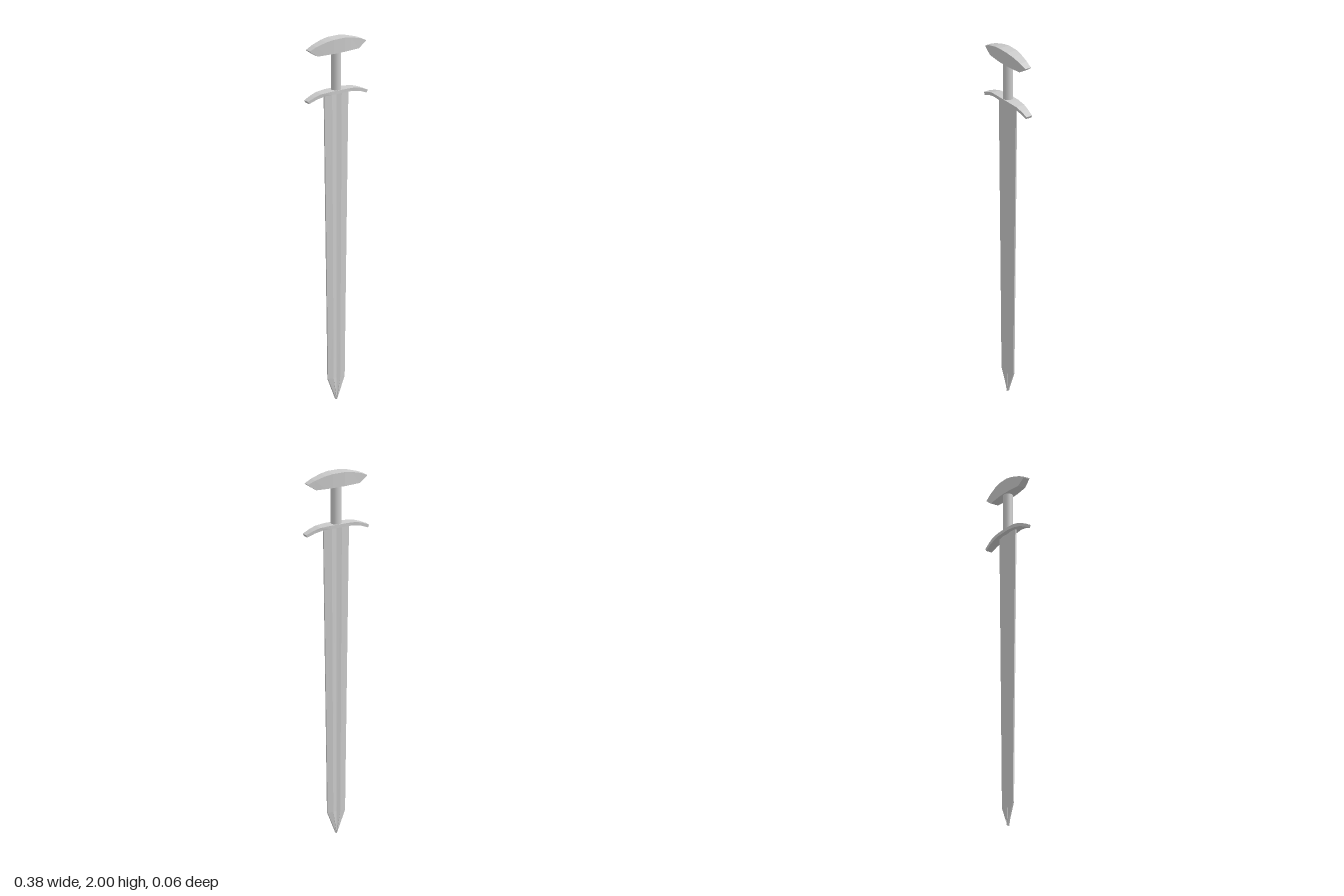
import * as THREE from 'three';

const steel = new THREE.MeshStandardMaterial({ color: 0xcccccc, flatShading: true });
const smooth = new THREE.MeshStandardMaterial({ color: 0xcccccc });

// Skin a list of equal-length rings of [x, y, z] points, closing both ends.
function loft(rings) {
  const pos = [];
  const tri = (a, b, c) => pos.push(...a, ...b, ...c);
  const middle = (r) => [0, 1, 2].map((k) => r.reduce((s, p) => s + p[k], 0) / r.length);
  const n = rings[0].length;
  const first = rings[0], last = rings[rings.length - 1];
  const c0 = middle(first), c1 = middle(last);
  for (let j = 0; j < n; j++) {
    const k = (j + 1) % n;
    for (let i = 0; i < rings.length - 1; i++) {
      const a = rings[i], b = rings[i + 1];
      tri(a[j], a[k], b[k]);
      tri(a[j], b[k], b[j]);
    }
    tri(c0, first[k], first[j]);
    tri(c1, last[j], last[k]);
  }
  const g = new THREE.BufferGeometry();
  g.setAttribute('position', new THREE.Float32BufferAttribute(pos, 3));
  g.computeVertexNormals();
  return g;
}

// Bar along x from half stations [xTop, yTop, xBottom, yBottom, halfDepth], mirrored.
function crossBar(half) {
  const ring = (s, [xt, yt, xb, yb, d]) => [
    [s * xt, yt, -d], [s * xt, yt, d], [s * xb, yb, d], [s * xb, yb, -d],
  ];
  return loft([
    ...half.map((h) => ring(-1, h)).reverse(),
    ...half.map((h) => ring(1, h)),
  ]);
}

function addPart(group, name, geometry, material) {
  const mesh = new THREE.Mesh(geometry, material);
  mesh.name = name;
  group.add(mesh);
  return mesh;
}

export function createModel() {
  const sword = new THREE.Group();
  sword.name = 'sword';

  // Blade: bevelled section with a shallow central groove, tapering to a point
  const section = [
    [0, 0.004], [0.4, 0.009], [1, 0.004], [1, -0.004], [0.4, -0.009],
    [0, -0.004], [-0.4, -0.009], [-1, -0.004], [-1, 0.004], [-0.4, 0.009],
  ];
  const stations = [[0, 0.001], [0.12, 0.053], [0.4, 0.057], [1.7, 0.077]];
  addPart(sword, 'blade',
    loft(stations.map(([y, w]) => section.map(([u, z]) => [u * w, y, z]))), steel);

  // Guard: slim bar with drooping, narrowing ends
  addPart(sword, 'guard', crossBar([
    [0.05, 1.715, 0.045, 1.697, 0.031],
    [0.11, 1.711, 0.09, 1.695, 0.026],
    [0.15, 1.699, 0.14, 1.684, 0.022],
    [0.192, 1.681, 0.184, 1.667, 0.018],
  ]), steel);

  // Grip
  const grip = addPart(sword, 'grip',
    new THREE.CylinderGeometry(0.028, 0.028, 0.23, 16), smooth);
  grip.position.y = 1.815;

  // Pommel: flat base, arched top and wedge-shaped ends
  addPart(sword, 'pommel', crossBar([
    [0.035, 2.0, 0.035, 1.922, 0.032],
    [0.08, 1.993, 0.08, 1.922, 0.028],
    [0.14, 1.976, 0.132, 1.922, 0.022],
    [0.18, 1.958, 0.178, 1.953, 0.018],
  ]), steel);

  return sword;
}
